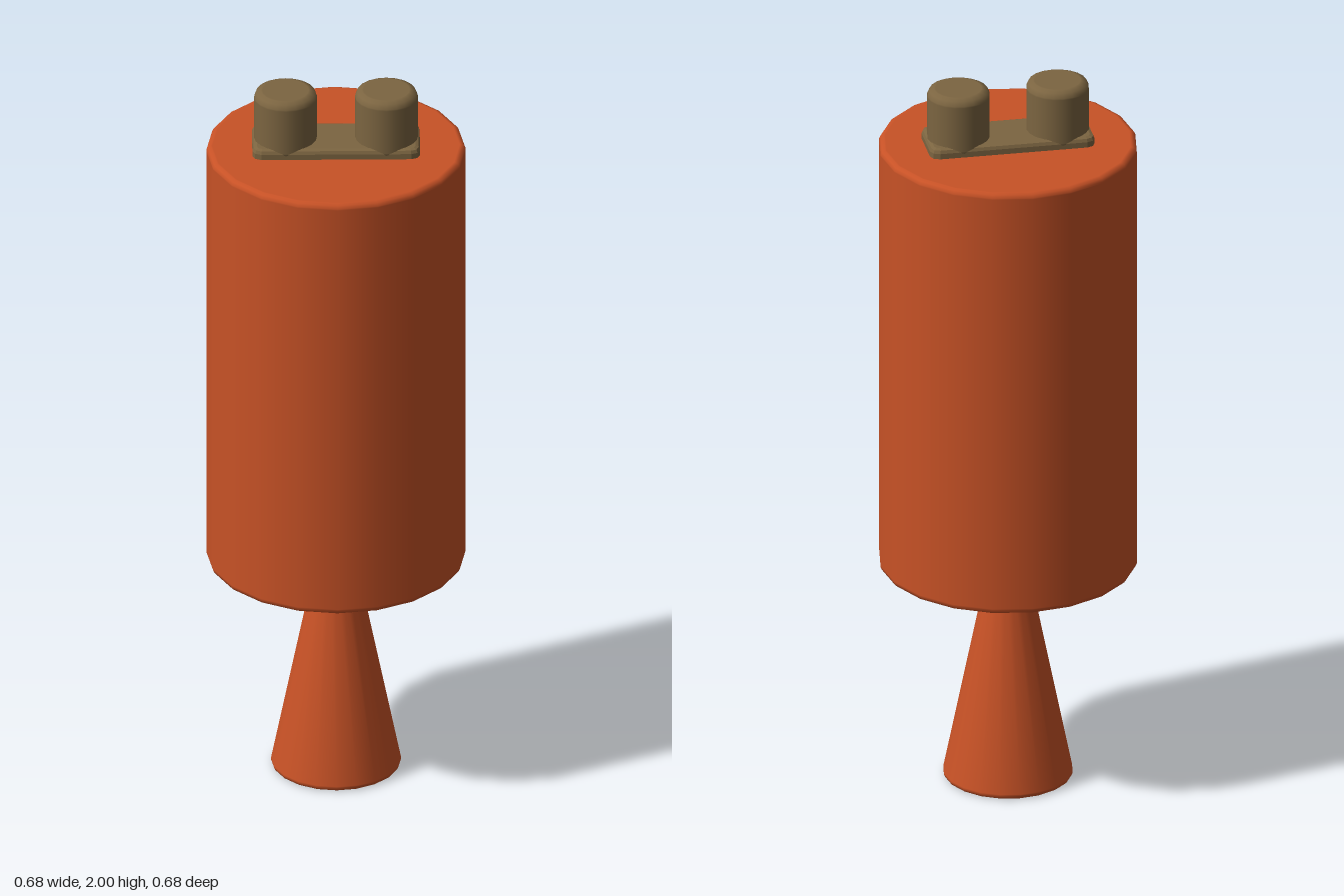
import * as THREE from 'three';

const orange = new THREE.MeshStandardMaterial({ color: 0xc85226 });
orange.name = 'burnt orange';
const bronze = new THREE.MeshStandardMaterial({ color: 0x7c6541 });
bronze.name = 'dull bronze';

// Closed round part with small bevels; support points hold the flat areas flat
function bevelledRound(rBottom, rTop, y0, y1, bevel, sides) {
  const b = bevel, e = 0.004;
  const slope = (rTop - rBottom) / (y1 - y0);
  const at = (y) => rBottom + slope * (y - y0);
  const rows = [
    [0, y0], [rBottom - b - e, y0], [rBottom - b, y0],
    [at(y0 + b) - b * 0.3, y0 + b * 0.3],
    [at(y0 + b), y0 + b], [at(y0 + b + e), y0 + b + e],
    [at(y1 - b - e), y1 - b - e], [at(y1 - b), y1 - b],
    [at(y1 - b) - b * 0.3, y1 - b * 0.3],
    [rTop - b, y1], [rTop - b - e, y1], [0, y1],
  ];
  return new THREE.LatheGeometry(rows.map(([x, y]) => new THREE.Vector2(x, y)), sides);
}

// Flat plate with clipped corners and a bevelled rim
function platePart(hx, hz, y0, y1, corner, bevel) {
  const x = hx - bevel, z = hz - bevel, c = corner - bevel * 0.5;
  const shape = new THREE.Shape([
    [x - c, -z], [x - c * 0.3, -z + c * 0.3], [x, -z + c],
    [x, z - c], [x - c * 0.3, z - c * 0.3], [x - c, z],
    [-x + c, z], [-x + c * 0.3, z - c * 0.3], [-x, z - c],
    [-x, -z + c], [-x + c * 0.3, -z + c * 0.3], [-x + c, -z],
  ].map(([a, b]) => new THREE.Vector2(a, b)));
  const g = new THREE.ExtrudeGeometry(shape, {
    depth: y1 - y0 - 2 * bevel, bevelEnabled: true,
    bevelThickness: bevel, bevelSize: bevel, bevelSegments: 2,
  });
  return g.rotateX(-Math.PI / 2).translate(0, y0 + bevel, 0);
}

export function createModel() {
  const model = new THREE.Group();
  model.name = 'canisterOnCone';
  const add = (name, geometry, material, x = 0) => {
    const mesh = new THREE.Mesh(geometry, material);
    mesh.name = name;
    mesh.position.x = x;
    model.add(mesh);
  };

  // Flared foot, running slightly into the body
  add('coneFoot', bevelledRound(0.174, 0.046, 0, 0.635, 0.01, 20), orange);

  // Main drum
  add('body', bevelledRound(0.342, 0.342, 0.615, 1.835, 0.012, 20), orange);

  // Plate and twin studs on top
  add('topPlate', platePart(0.221, 0.082, 1.815, 1.862, 0.02, 0.012), bronze);
  for (const [name, side] of [['leftStud', 1], ['rightStud', -1]]) {
    add(name, bevelledRound(0.083, 0.083, 1.83, 2, 0.018, 20), bronze, side * 0.133);
  }
  return model;
}
